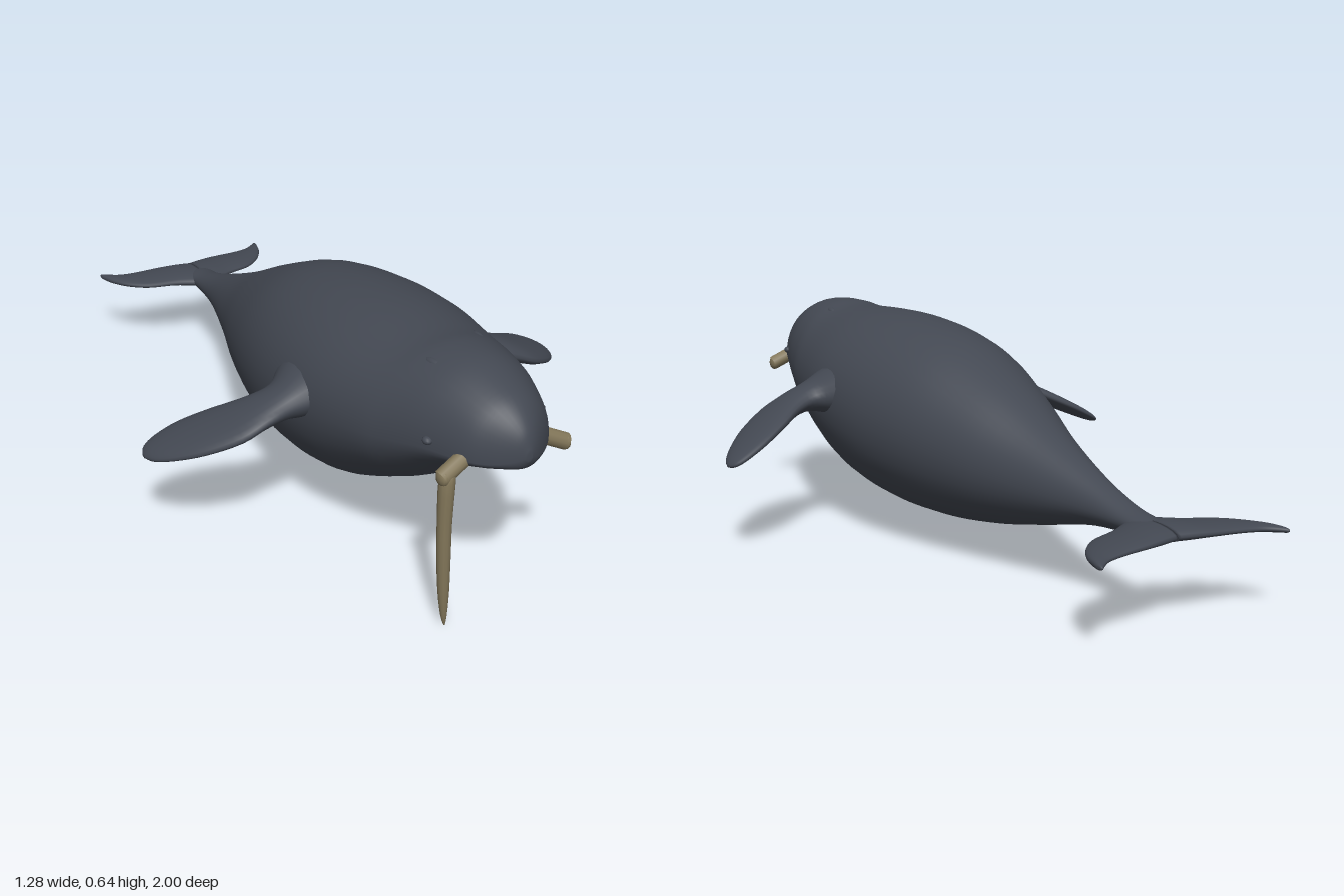
import * as THREE from 'three';

// Smooth curve through the rows, channel by channel
function smoothRows(rows, steps) {
  const out = [];
  const at = i => rows[Math.min(Math.max(i, 0), rows.length - 1)];
  for (let i = 0; i < rows.length - 1; i++) {
    for (let k = 0; k < steps; k++) {
      const t = k / steps;
      out.push(rows[i].map((p1, c) => {
        const p0 = at(i - 1)[c], p2 = at(i + 1)[c], p3 = at(i + 2)[c];
        return p1 + 0.5 * t * (p2 - p0 + t * (2 * p0 - 5 * p1 + 4 * p2 - p3 + t * (3 * (p1 - p2) + p3 - p0)));
      }));
    }
  }
  out.push(rows[rows.length - 1]);
  return out;
}

// Skin closed rings; point(row, cos, sin) gives [x, y, z]
function loft(rows, sides, point) {
  const pos = [], index = [], n = rows.length;
  rows.forEach(row => {
    for (let j = 0; j < sides; j++) {
      const a = (j / sides) * Math.PI * 2;
      pos.push(...point(row, Math.cos(a), Math.sin(a)));
    }
  });
  for (let i = 0; i < n - 1; i++) {
    for (let j = 0; j < sides; j++) {
      const k = (j + 1) % sides, a = i * sides, b = a + sides;
      index.push(a + j, b + j, a + k, b + j, b + k, a + k);
    }
  }
  // End caps
  for (let j = 1; j < sides - 1; j++) {
    const e = (n - 1) * sides;
    index.push(0, j, j + 1, e, e + j + 1, e + j);
  }
  const g = new THREE.BufferGeometry();
  g.setAttribute('position', new THREE.Float32BufferAttribute(pos, 3));
  g.setIndex(index);
  g.computeVertexNormals();
  return g;
}

export function createModel() {
  const group = new THREE.Group();
  const skin = new THREE.MeshStandardMaterial({ color: 0x434852 });
  skin.name = 'slate skin';
  const ivory = new THREE.MeshStandardMaterial({ color: 0x83775a });
  ivory.name = 'aged ivory';

  function add(name, geometry, material, position = [0, 0, 0]) {
    const m = new THREE.Mesh(geometry, material);
    m.name = name;
    m.position.set(...position);
    group.add(m);
    return m;
  }

  // Body: z, top, bottom, height of widest point, half width
  const body = smoothRows([
    [1.0, 0.49, 0.465, 0.475, 0.008],
    [0.985, 0.535, 0.44, 0.465, 0.04],
    [0.95, 0.575, 0.43, 0.455, 0.085],
    [0.9, 0.605, 0.415, 0.455, 0.128],
    [0.8, 0.637, 0.36, 0.45, 0.172],
    [0.7, 0.643, 0.285, 0.43, 0.208],
    [0.6, 0.634, 0.222, 0.415, 0.24],
    [0.4, 0.638, 0.122, 0.39, 0.28],
    [0.2, 0.625, 0.085, 0.36, 0.283],
    [0, 0.585, 0.08, 0.335, 0.25],
    [-0.2, 0.5, 0.1, 0.3, 0.192],
    [-0.4, 0.4, 0.14, 0.265, 0.122],
    [-0.6, 0.315, 0.185, 0.245, 0.066],
    [-0.74, 0.267, 0.198, 0.232, 0.046],
    [-0.83, 0.248, 0.203, 0.226, 0.045],
    [-0.91, 0.232, 0.214, 0.223, 0.02],
  ], 5);
  add('body', loft(body, 40, ([z, top, bottom, mid, w], c, s) =>
    [w * c, mid + s * (s > 0 ? top - mid : mid - bottom), z]), skin);

  // Fins run outward in x: x, y, half thickness, leading z, trailing z
  const fin = (rows, side) => loft(rows, 20, ([x, y, t, front, back], c, s) =>
    [side * x, y + side * t * s, (front + back) / 2 + (front - back) / 2 * c]);

  const flipper = smoothRows([
    [0.22, 0.43, 0.08, 0.47, 0.2],
    [0.275, 0.413, 0.06, 0.447, 0.265],
    [0.32, 0.402, 0.042, 0.436, 0.305],
    [0.38, 0.384, 0.033, 0.437, 0.292],
    [0.45, 0.353, 0.028, 0.432, 0.245],
    [0.53, 0.315, 0.023, 0.385, 0.202],
    [0.59, 0.284, 0.018, 0.325, 0.188],
    [0.625, 0.265, 0.012, 0.275, 0.195],
    [0.638, 0.258, 0.004, 0.238, 0.22],
  ], 4);

  const fluke = smoothRows([
    [0, 0.226, 0.022, -0.74, -0.922],
    [0.045, 0.226, 0.021, -0.765, -0.932],
    [0.1, 0.225, 0.017, -0.795, -0.942],
    [0.18, 0.222, 0.014, -0.822, -0.95],
    [0.235, 0.22, 0.012, -0.868, -0.962],
    [0.27, 0.219, 0.01, -0.92, -0.985],
    [0.286, 0.218, 0.007, -0.965, -0.999],
    [0.29, 0.218, 0.003, -0.98, -0.992],
  ], 4);

  for (const side of [1, -1]) {
    const label = side > 0 ? 'left' : 'right';
    add(label + 'Flipper', fin(flipper, side), skin);
    add(label + 'Fluke', fin(fluke, side), skin);

    // Small eye on the cheek
    const eye = add(label + 'Eye', new THREE.SphereGeometry(1, 12, 8), skin, [side * 0.163, 0.475, 0.82]);
    eye.scale.set(0.012, 0.01, 0.014);

    // Raised nostril rim on the brow
    const rim = add(label + 'Nostril', new THREE.SphereGeometry(1, 12, 8), skin,
      [side * 0.085, 0.612, side > 0 ? 0.66 : 0.72]);
    rim.scale.set(0.013, 0.012, 0.035);
    rim.rotation.y = side * -0.2;

    // Tusk socket angled out of the upper lip
    const path = new THREE.LineCurve3(
      new THREE.Vector3(side * 0.105, 0.456, 0.895), new THREE.Vector3(side * 0.178, 0.421, 0.905));
    add(label + 'TuskSocket', new THREE.TubeGeometry(path, 2, 0.022, 12), ivory);
    const end = add(label + 'TuskSocketEnd', new THREE.SphereGeometry(0.022, 12, 8), ivory,
      [side * 0.174, 0.423, 0.905]);
    end.scale.x = 0.6;
  }

  // Single long tusk hanging from the right socket: y, x, radius
  const tusk = smoothRows([
    [0.435, -0.155, 0.012],
    [0.41, -0.163, 0.02],
    [0.3, -0.165, 0.018],
    [0.2, -0.163, 0.017],
    [0.1, -0.159, 0.014],
    [0.03, -0.155, 0.008],
    [0, -0.152, 0.002],
  ], 3);
  add('longTusk', loft(tusk, 12, ([y, x, r], c, s) => [x + r * s, y, 0.908 + r * c]), ivory);

  return group;
}
